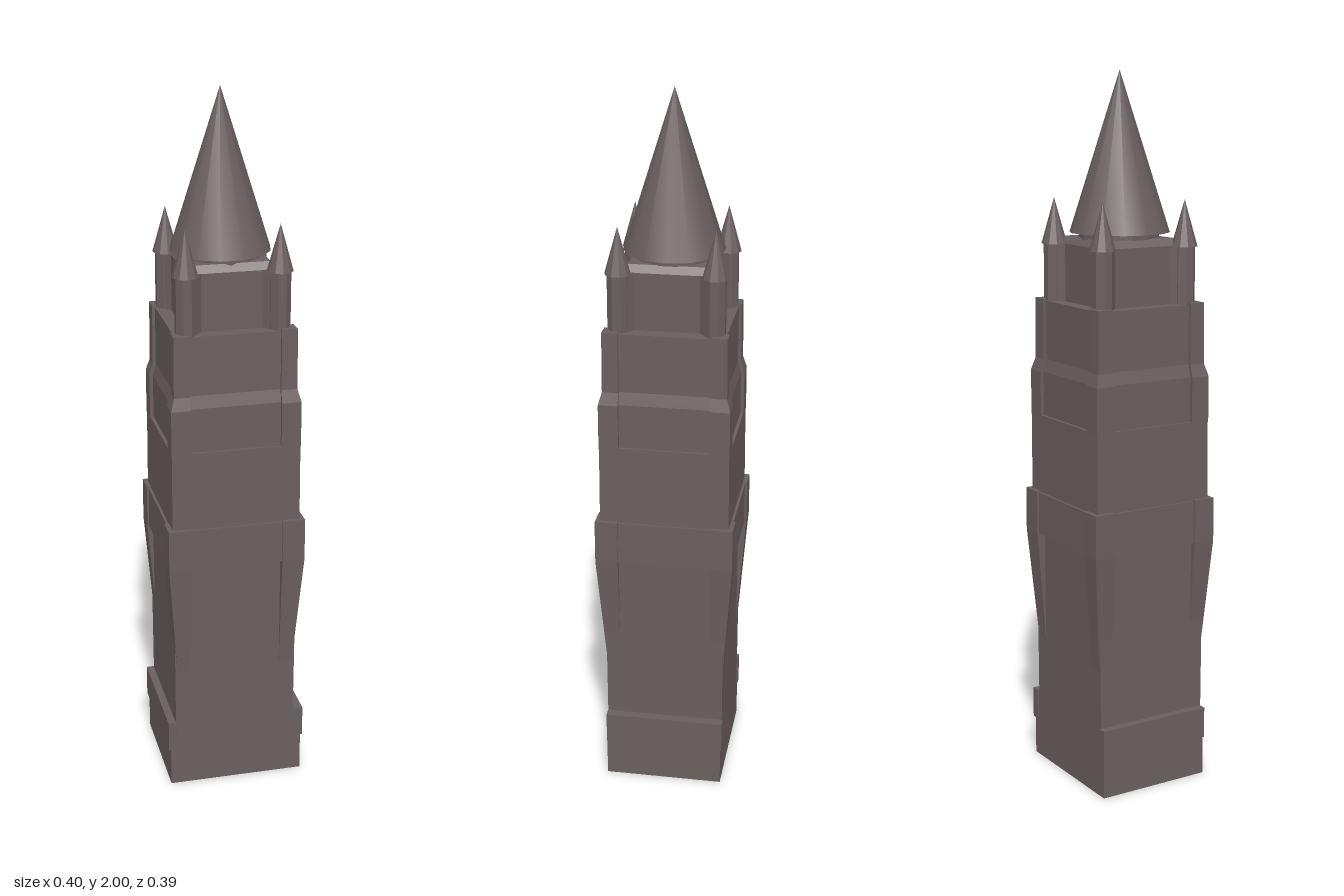
import * as THREE from 'three';

const stone = new THREE.MeshStandardMaterial({ color: 0x6a5f60, flatShading: true });
const smoothStone = new THREE.MeshStandardMaterial({ color: 0x6a5f60 });

// Square tower section lofted through [y, halfWidth] pairs
function squareLoft(profile) {
  const pts = profile.map(([y, h]) => new THREE.Vector2(h * Math.SQRT2, y));
  pts.unshift(new THREE.Vector2(0, profile[0][0]));
  pts.push(new THREE.Vector2(0, profile[profile.length - 1][0]));
  return new THREE.LatheGeometry(pts, 4, Math.PI / 4).toNonIndexed();
}

// Corner pilaster: inner faces stay at `inner`, outer faces follow [y, halfWidth] pairs
function cornerLoft(inner, profile) {
  const n = profile.length - 1;
  const geo = new THREE.BoxGeometry(1, 1, 1, 1, n, 1).toNonIndexed();
  const p = geo.attributes.position;
  for (let i = 0; i < p.count; i++) {
    const [y, outer] = profile[Math.round((p.getY(i) + 0.5) * n)];
    p.setXYZ(i, p.getX(i) > 0 ? outer : inner, y, p.getZ(i) > 0 ? outer : inner);
  }
  geo.computeVertexNormals();
  return geo;
}

export function createModel() {
  const model = new THREE.Group();
  model.name = 'clockTower';
  const tower = new THREE.Group();
  tower.name = 'tower';
  tower.position.x = -0.004;
  model.add(tower);

  const add = (parent, name, geo, x = 0, y = 0, z = 0, mat = stone) => {
    const mesh = new THREE.Mesh(geo, mat);
    mesh.name = name;
    mesh.position.set(x, y, z);
    parent.add(mesh);
    return mesh;
  };
  const addCorners = (name, geo) => {
    for (let i = 0; i < 4; i++) add(tower, name, geo).rotation.y = i * Math.PI / 2;
  };

  // Plinth, wider across x, with a shallow band on each side
  add(model, 'plinth', new THREE.BoxGeometry(0.39, 0.2, 0.336), 0, 0.1, 0);
  for (const s of [-1, 1]) {
    add(model, 'plinthBand', new THREE.BoxGeometry(0.025, 0.09, 0.34), s * 0.1885, 0.157, -0.002);
  }

  // Lower shaft with pilasters that swell towards the overhanging band
  add(tower, 'lowerShaft', squareLoft([[0.01, 0.168], [0.71, 0.17]])).scale.x = 1.04;
  addCorners('lowerPilaster', cornerLoft(0.13, [[0.3, 0.163], [0.37, 0.169], [0.7, 0.194], [0.823, 0.194]]));
  add(tower, 'overhangBand', squareLoft([[0.7, 0.189], [0.82, 0.188]]));

  // Middle stage
  add(tower, 'middleStage', squareLoft([[0.81, 0.181], [1.045, 0.18]]));

  // Upper stage: recessed panels between stepped corner pilasters
  add(tower, 'upperPanels', squareLoft([[1.04, 0.171], [1.17, 0.171], [1.205, 0.162], [1.37, 0.162]]));
  addCorners('upperPilaster', cornerLoft(0.126, [[1.04, 0.181], [1.17, 0.181], [1.205, 0.171], [1.375, 0.17]]));

  // Belfry block and round neck under the spire
  add(tower, 'belfry', squareLoft([[1.36, 0.122], [1.53, 0.122], [1.55, 0.108]]));
  add(tower, 'spireNeck', new THREE.CylinderGeometry(0.112, 0.112, 0.04, 14), 0, 1.55, 0);

  // Corner turrets, each tied diagonally to the belfry
  for (const sx of [-1, 1]) {
    for (const sz of [-1, 1]) {
      const turret = new THREE.Group();
      turret.name = 'cornerTurret';
      turret.position.set(sx * 0.129, 0, sz * 0.131);
      tower.add(turret);
      add(turret, 'turretShaft', new THREE.CylinderGeometry(0.03, 0.03, 0.165, 8), 0, 1.448, 0)
        .rotation.y = Math.PI / 8;
      add(turret, 'turretRoof', new THREE.ConeGeometry(0.036, 0.128, 10), 0, 1.592, 0);
      add(turret, 'turretTie', new THREE.BoxGeometry(0.05, 0.165, 0.07), -sx * 0.023, 1.448, -sz * 0.023)
        .rotation.y = sx * sz * Math.PI / 4;
    }
  }

  // Main spire
  add(tower, 'spire', new THREE.ConeGeometry(0.139, 0.436, 14, 1, false, Math.PI / 2),
    -0.004, 1.782, 0, smoothStone);

  return model;
}
